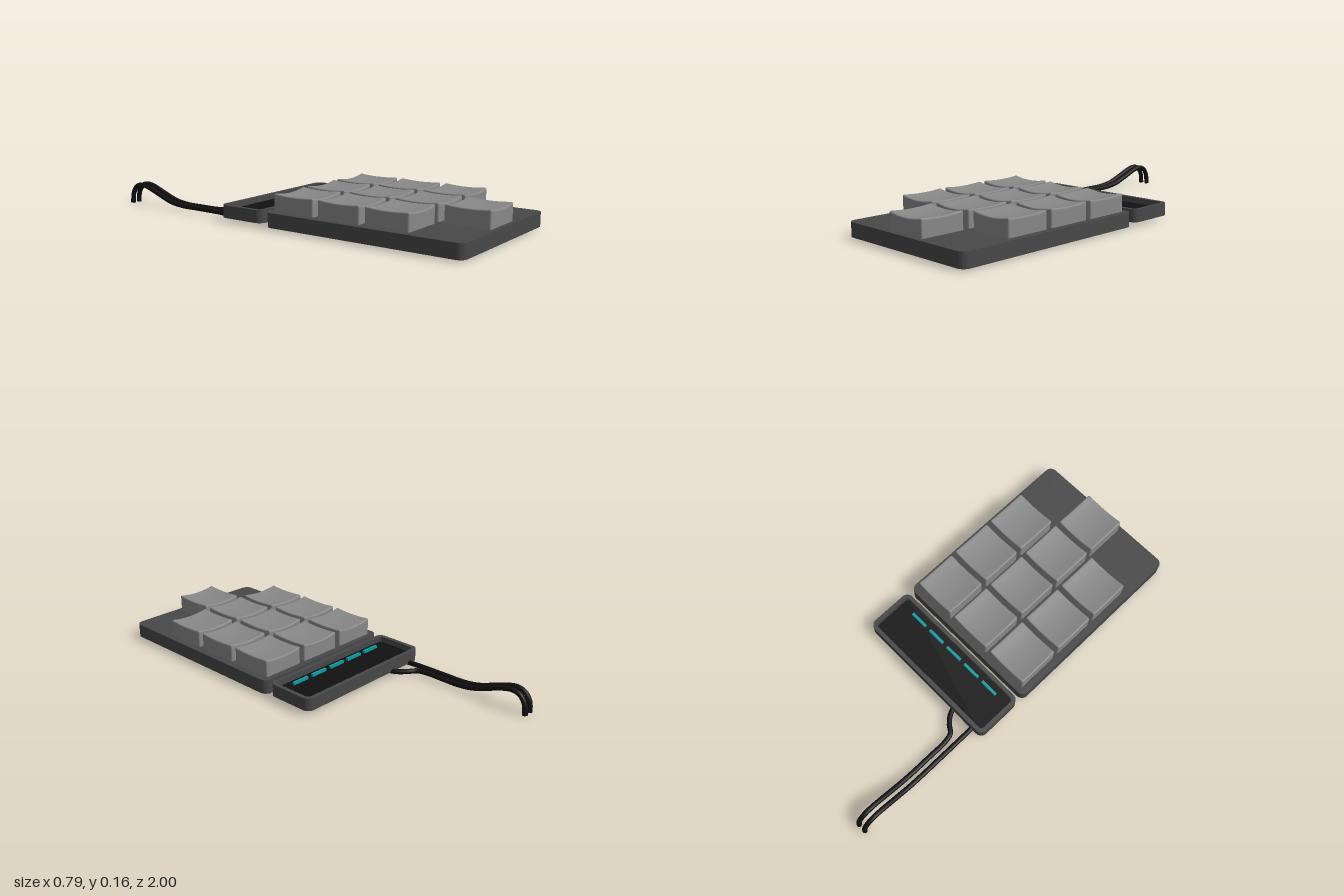
import * as THREE from 'three';
import { mergeVertices, toCreasedNormals } from 'three/addons/utils/BufferGeometryUtils.js';

const material = (color) => new THREE.MeshStandardMaterial({ color });

function add(parent, name, geometry, mat, x = 0, y = 0, z = 0) {
  const mesh = new THREE.Mesh(geometry, mat);
  mesh.name = name;
  mesh.position.set(x, y, z);
  parent.add(mesh);
  return mesh;
}

// Rounded rectangle outline, drawn on a Shape or Path
function roundedRect(path, w, d, r) {
  const x = w / 2, y = d / 2;
  path.moveTo(-x + r, -y);
  path.lineTo(x - r, -y);
  path.absarc(x - r, -y + r, r, -Math.PI / 2, 0);
  path.lineTo(x, y - r);
  path.absarc(x - r, y - r, r, 0, Math.PI / 2);
  path.lineTo(-x + r, y);
  path.absarc(-x + r, y - r, r, Math.PI / 2, Math.PI);
  path.lineTo(-x, -y + r);
  path.absarc(-x + r, -y + r, r, Math.PI, Math.PI * 1.5);
  return path;
}

// Flat slab standing on y = 0, optionally with a rounded opening
function slab(w, d, h, r, hole) {
  const shape = roundedRect(new THREE.Shape(), w, d, r);
  if (hole) shape.holes.push(roundedRect(new THREE.Path(), ...hole));
  const geo = new THREE.ExtrudeGeometry(shape, { depth: h, bevelEnabled: false, curveSegments: 8 });
  geo.rotateX(-Math.PI / 2);
  return toCreasedNormals(geo, 0.6);
}

// Keycap: rounded box whose top is dished in both directions
function keycap(w, h, d, r) {
  const geo = new THREE.BoxGeometry(2, 2, 2, 16, 16, 16);
  const half = new THREE.Vector3(w / 2, h / 2, d / 2);
  const pos = geo.attributes.position;
  const p = new THREE.Vector3(), core = new THREE.Vector3();
  for (let i = 0; i < pos.count; i++) {
    p.fromBufferAttribute(pos, i);
    for (const k of ['x', 'y', 'z']) {
      const t = Math.abs(p[k]), flat = half[k] - r;
      const v = t > 0.75 ? flat + r * (t - 0.75) * 4 : flat * t / 0.75;
      p[k] = Math.sign(p[k]) * v;
      core[k] = THREE.MathUtils.clamp(p[k], -flat, flat);
    }
    p.sub(core).setLength(r).add(core);
    const u = p.x / half.x, v = p.z / half.z;
    p.y -= Math.max(0, p.y / half.y) * (0.013 * (1 - u * u) + 0.007 * (1 - v * v));
    pos.setXYZ(i, p.x, p.y, p.z);
  }
  geo.deleteAttribute('normal');
  geo.deleteAttribute('uv');
  const merged = mergeVertices(geo, 1e-5);
  merged.computeVertexNormals();
  return merged;
}

export function createModel() {
  const model = new THREE.Group();
  model.name = 'keypad';
  const caseMat = material(0x484848);
  const keyMat = material(0x888888);
  const blackMat = material(0x111111);
  const tealMat = material(0x0a9aa0);

  // Keypad base
  add(model, 'base', slab(0.79, 1.015, 0.07, 0.035), caseMat, 0, 0.007, 0.49);

  // Three rows of three keys and a single key in front
  const keys = new THREE.Group();
  keys.name = 'keys';
  model.add(keys);
  const capGeo = keycap(0.222, 0.114, 0.222, 0.009);
  for (let row = 0; row < 4; row++) {
    for (let col = -1; col <= 1; col++) {
      if (row === 3 && col !== 0) continue;
      add(keys, 'key', capGeo, keyMat, col * 0.249, 0.108, 0.121 + row * 0.248);
    }
  }

  // Display: frame, back plate, recessed screen and five dashes
  const display = new THREE.Group();
  display.name = 'display';
  display.position.set(0, 0.018, -0.169);
  model.add(display);
  add(display, 'displayFrame', slab(0.785, 0.252, 0.062, 0.035, [0.745, 0.212, 0.018]), caseMat);
  add(display, 'displayBack', slab(0.75, 0.217, 0.012, 0.02), caseMat);
  add(display, 'screen', slab(0.75, 0.217, 0.022, 0.02), blackMat, 0, 0.012, 0);
  for (let i = -2; i <= 2; i++) {
    add(display, 'displayDash', new THREE.BoxGeometry(0.094, 0.014, 0.014), tealMat, i * 0.1235, 0.04, 0.07);
  }

  // Cable: two parallel strands joined by a loop under the display
  const strand = (x) => [
    [x, 0, -0.986], [x, 0.055, -0.977], [x, 0.09, -0.95], [x, 0.101, -0.91], [x, 0.092, -0.86],
    [x, 0.063, -0.78], [x, 0.036, -0.7], [x, 0.025, -0.62], [x, 0.024, -0.52],
  ];
  const loop = [
    [-0.326, 0.023, -0.38], [-0.324, 0.02, -0.28], [-0.312, 0.018, -0.19], [-0.275, 0.018, -0.125],
    [-0.225, 0.018, -0.12], [-0.19, 0.018, -0.17], [-0.182, 0.018, -0.24], [-0.2, 0.02, -0.31],
    [-0.235, 0.023, -0.355], [-0.273, 0.024, -0.385], [-0.286, 0.024, -0.44],
  ];
  const points = [...strand(-0.326), ...loop, ...strand(-0.286).reverse()];
  const path = new THREE.CatmullRomCurve3(points.map((q) => new THREE.Vector3(...q)));
  const cable = new THREE.Group();
  cable.name = 'cable';
  model.add(cable);
  add(cable, 'cableLoop', new THREE.TubeGeometry(path, 220, 0.0125, 12), blackMat);
  for (const x of [-0.326, -0.286]) {
    const cap = new THREE.CircleGeometry(0.0125, 12).rotateX(Math.PI / 2);
    add(cable, 'cableEnd', cap, blackMat, x, 0.001, -0.986);
  }
  return model;
}
